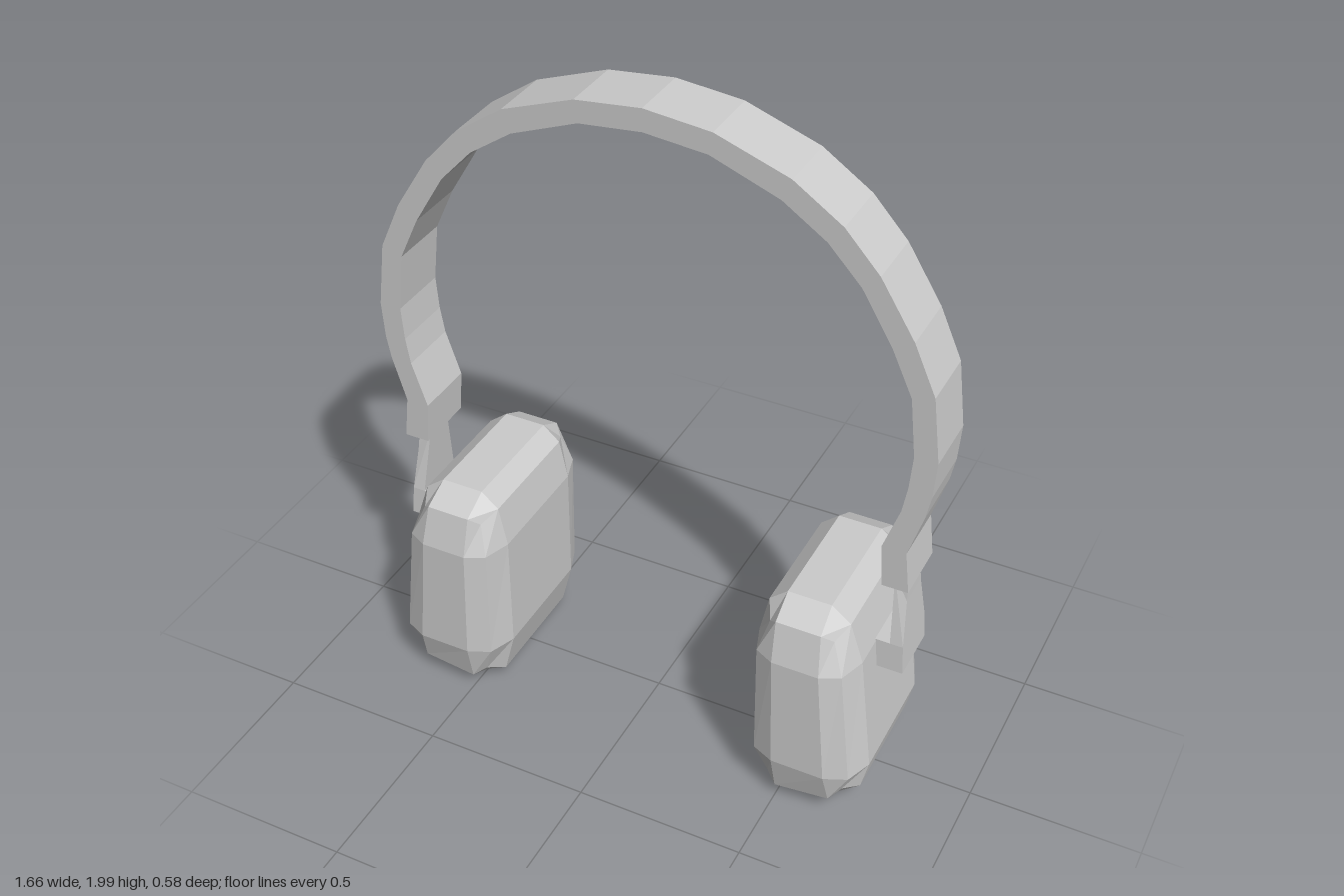
import * as THREE from 'three';

const material = new THREE.MeshStandardMaterial({ color: 0xcccccc, flatShading: true });

function addMesh(parent, name, geometry) {
  const mesh = new THREE.Mesh(geometry, material);
  mesh.name = name;
  parent.add(mesh);
  return mesh;
}

// Extrudes an x-y outline, centred on z = 0
function extrude(points, depth) {
  const shape = new THREE.Shape(points.map(([x, y]) => new THREE.Vector2(x, y)));
  const geometry = new THREE.ExtrudeGeometry(shape, { depth, bevelEnabled: false });
  return geometry.translate(0, 0, -depth / 2);
}

// Moves every vertex by a rule
function reshape(geometry, rule) {
  const pos = geometry.attributes.position;
  const v = new THREE.Vector3();
  for (let i = 0; i < pos.count; i++) {
    rule(v.fromBufferAttribute(pos, i));
    pos.setXYZ(i, v.x, v.y, v.z);
  }
  geometry.computeVertexNormals();
  return geometry;
}

// Arched strip that pinches in and ends in a straight socket on each side
function headbandGeometry() {
  const outer = [[0, 2], [0.19, 1.98], [0.40, 1.905], [0.54, 1.81], [0.64, 1.70], [0.74, 1.54],
    [0.805, 1.395], [0.83, 1.2], [0.823, 1.09], [0.81, 1.02], [0.77, 0.885], [0.785, 0.755]];
  const inner = [[0, 1.935], [0.18, 1.917], [0.375, 1.842], [0.50, 1.757], [0.595, 1.655], [0.685, 1.505],
    [0.745, 1.375], [0.765, 1.2], [0.758, 1.10], [0.745, 1.02], [0.70, 0.885], [0.71, 0.755]];
  const mirror = (list) => list.slice(1).map(([x, y]) => [-x, y]);
  return extrude([
    ...outer, ...inner.slice().reverse(),
    ...mirror(inner), ...mirror(outer).reverse(),
  ], 0.185);
}

// Thin arm that flares in depth towards a foot touching the cup
function armGeometry() {
  const outline = [[0.768, 0.76], [0.73, 0.76], [0.735, 0.69], [0.745, 0.55], [0.69, 0.55],
    [0.69, 0.46], [0.79, 0.46], [0.783, 0.55], [0.772, 0.69]];
  return reshape(extrude(outline, 2), (v) => {
    const half = v.y > 0.72 ? 0.045 : v.y > 0.6 ? 0.053 : v.y > 0.5 ? 0.083 : 0.088;
    v.z *= half;
  });
}

// Chunky rounded box: edges and corners are pulled in, the outer face leans inwards
function cupGeometry() {
  const flat = [0.45, 0.185, 0.18];
  const reach = [
    [1, 0.352, 0.29], // face
    [0.82, 0.307, 0.261], // edge
    [0.64, 0.28, 0.235], // corner
  ];
  return reshape(new THREE.BoxGeometry(2, 2, 2, 3, 3, 3), (v) => {
    const grid = v.toArray();
    const extremes = grid.filter((c) => Math.abs(c) > 0.9).length;
    const [s, h, z] = grid.map((c, axis) =>
      Math.sign(c) * (Math.abs(c) > 0.9 ? reach[extremes - 1][axis] : flat[axis]));
    let y = 0.358 + h;
    if (grid[1] < -0.9) y += 0.022 * (s + 0.45);
    const outerX = 0.77 - 0.12 * y;
    v.set(0.4 + ((s + 1) / 2) * (outerX - 0.4), y, z);
  });
}

export function createModel() {
  const model = new THREE.Group();
  model.name = 'headphones';
  addMesh(model, 'headband', headbandGeometry());

  // Each side is symmetric front to back, so a half turn gives the opposite one
  const arm = armGeometry();
  const cup = cupGeometry();
  for (const side of ['left', 'right']) {
    const group = new THREE.Group();
    group.name = side + 'Earpiece';
    addMesh(group, side + 'Arm', arm);
    addMesh(group, side + 'EarCup', cup);
    if (side === 'right') group.rotation.y = Math.PI;
    model.add(group);
  }
  return model;
}
